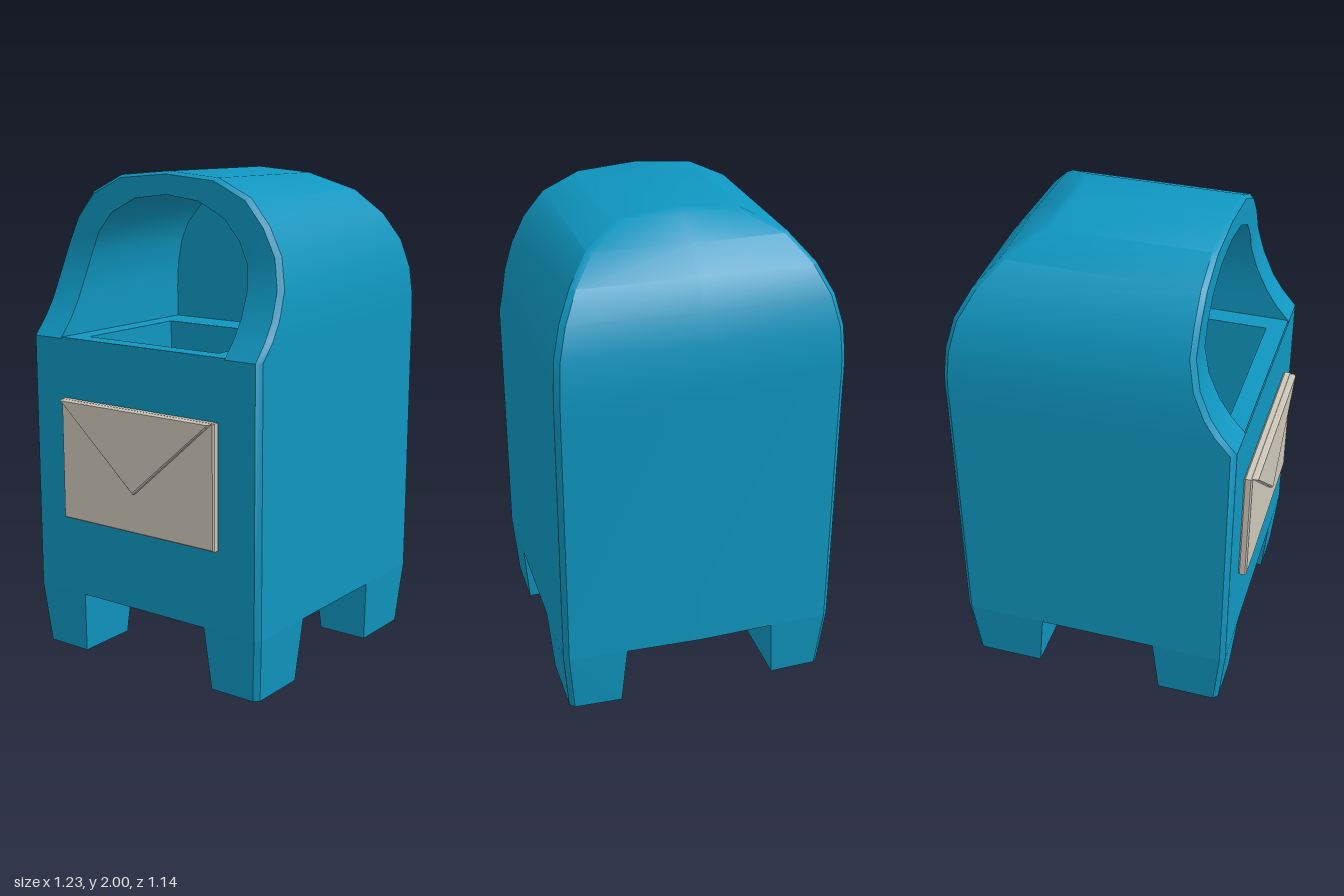
import * as THREE from 'three';
import { toCreasedNormals } from 'three/addons/utils/BufferGeometryUtils.js';
import { ConvexGeometry } from 'three/addons/geometries/ConvexGeometry.js';

const BASE_Y = 0.26, SILL_Y = 1.335, CAVITY_X = 0.2, BEVEL = 0.02;

// Body levels: height, half width, slot-side x, rounded-side x, then height and half width of the opening
const LEVELS = [
  [BASE_Y, 0.57, -0.56, 0.585],
  [1.33, 0.57, -0.56, 0.592, 1.33, 0.41],
  [1.40, 0.57, -0.50, 0.594, 1.40, 0.41],
  [1.47, 0.568, -0.455, 0.592, 1.47, 0.41],
  [1.58, 0.56, -0.41, 0.58, 1.57, 0.405],
  [1.70, 0.53, -0.385, 0.55, 1.67, 0.385],
  [1.81, 0.475, -0.385, 0.49, 1.75, 0.35],
  [1.91, 0.39, -0.385, 0.40, 1.83, 0.28],
  [1.98, 0.24, -0.385, 0.28, 1.89, 0.16],
  [2.00, 0, -0.385, 0.25, 1.91, 0],
];

// Half outline of one level, from the middle of the rounded side round to the slot side
function outline([y, w, xf, xb, yi, wi], open) {
  const wc = Math.max(w - BEVEL, 0);
  const half = [
    [xb + 0.016 * w / 0.57, y, 0],
    [xb, y, wc],
    [xb - BEVEL, y, w],
    [xf + BEVEL, y, w],
  ];
  if (open) {
    const t = 0.125;
    half.push([xf, y + (yi - y) * t, w + (wi - w) * t], [xf, yi, wi], [CAVITY_X, yi, wi]);
  } else {
    half.push([xf, y, wc], [xf, y, 0]);
  }
  const other = half.slice(1).reverse().map(([x, py, z]) => [x, py, -z]);
  return other.concat(half);
}

// Skin a stack of outlines
function skin(rows, out) {
  for (let i = 0; i < rows.length - 1; i++) {
    for (let j = 0; j < rows[i].length - 1; j++) {
      const a = rows[i][j], b = rows[i + 1][j], c = rows[i][j + 1], d = rows[i + 1][j + 1];
      out.push(...a, ...b, ...c, ...b, ...d, ...c);
    }
  }
}

function shapeOf(points) {
  return new THREE.Shape(points.map(([x, y]) => new THREE.Vector2(x, y)));
}

export function createModel() {
  const blue = new THREE.MeshStandardMaterial({ color: 0x0f96c0 });
  blue.name = 'mailbox blue';
  const grey = new THREE.MeshStandardMaterial({ color: 0xcdc7b9 });
  grey.name = 'warm light grey';

  const model = new THREE.Group();
  model.name = 'mailbox';
  const add = (name, geometry, material) => {
    const mesh = new THREE.Mesh(geometry, material);
    mesh.name = name;
    model.add(mesh);
    return mesh;
  };

  // Shell: straight lower walls, then the arched hood with its rim and inner lining
  const positions = [];
  skin(LEVELS.slice(0, 2).map((l) => outline(l, false)), positions);
  skin(LEVELS.slice(1).map((l) => outline(l, true)), positions);
  const shell = new THREE.BufferGeometry();
  shell.setAttribute('position', new THREE.Float32BufferAttribute(positions, 3));
  add('shell', toCreasedNormals(shell, 0.55), blue);

  // Underside
  const under = shapeOf(outline(LEVELS[0], false).map(([x, , z]) => [x, z]));
  add('underside', new THREE.ShapeGeometry(under).rotateX(Math.PI / 2).translate(0, BASE_Y, 0), blue);

  // Rear wall of the opening
  const lining = LEVELS.slice(1).map((l) => [l[5], l[4]]);
  const arch = lining.concat(lining.slice(0, -1).reverse().map(([z, y]) => [-z, y]));
  add('openingBackWall', new THREE.ShapeGeometry(shapeOf(arch)).rotateY(-Math.PI / 2).translate(CAVITY_X, 0, 0), blue);

  // Sill with the rectangular letter chute
  const sill = shapeOf([[-0.557, -0.41], [CAVITY_X, -0.41], [CAVITY_X, 0.41], [-0.557, 0.41]]);
  sill.holes.push(new THREE.Path([[-0.48, -0.325], [-0.48, 0.325], [0.045, 0.325], [0.045, -0.325]]
    .map(([x, y]) => new THREE.Vector2(x, y))));
  const depth = 0.9;
  add('sillAndChute', new THREE.ExtrudeGeometry(sill, { depth, bevelEnabled: false })
    .rotateX(-Math.PI / 2).translate(0, SILL_Y - depth, 0), blue);
  add('chuteFloor', new THREE.BoxGeometry(0.56, 0.02, 0.68).translate(-0.22, SILL_Y - depth, 0), blue);

  // Four tapered legs with a bevelled outer corner
  const leg = (sz, xo, xi, xoLow, xiLow, bow) => {
    const points = [];
    const ring = (y, ox, ix, oz, iz) => {
      const s = Math.sign(ox);
      [[ox + bow, iz], [ox, oz - BEVEL], [ox - s * BEVEL, oz], [ix, oz], [ix, iz]]
        .forEach(([x, z]) => points.push(new THREE.Vector3(x, y, z * sz)));
    };
    ring(BASE_Y, xo, xi, 0.57, 0.31);
    ring(0, xoLow, xiLow, 0.548, 0.33);
    return new ConvexGeometry(points);
  };
  for (const [side, sz] of [['Left', 1], ['Right', -1]]) {
    add('slotLeg' + side, leg(sz, -0.56, -0.25, -0.535, -0.272, 0), blue);
    add('roundedLeg' + side, leg(sz, 0.585, 0.24, 0.56, 0.268, 0.007), blue);
  }

  // Raised envelope emblem: a plate with a triangular flap
  const slab = (points, thickness, x) => {
    const b = 0.006;
    return new THREE.ExtrudeGeometry(shapeOf(points), {
      depth: thickness - 2 * b, bevelEnabled: true, bevelThickness: b, bevelSize: b, bevelOffset: -b, bevelSegments: 1,
    }).rotateY(-Math.PI / 2).translate(x - b, 0, 0);
  };
  add('envelope', slab([[-0.385, 0.59], [0.385, 0.59], [0.385, 1.09], [-0.385, 1.09]], 0.034, -0.56), grey);
  add('envelopeFlap', slab([[-0.378, 1.09], [0, 0.755], [0.378, 1.09]], 0.03, -0.585), grey);

  return model;
}
